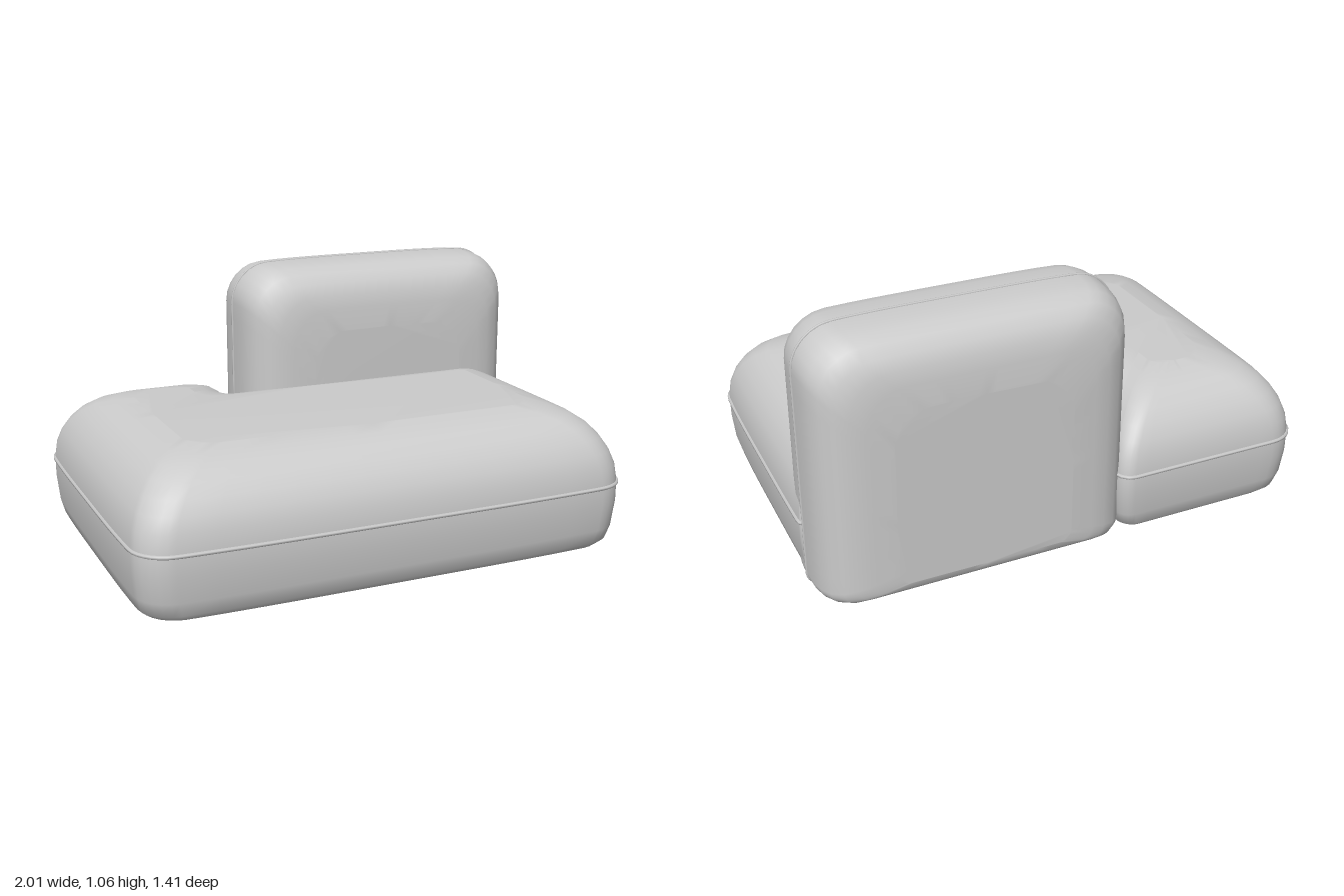
import * as THREE from 'three';

const ARC = 6, EDGE = 12; // segments per rounded corner and per straight side

// Counter-clockwise outline of right-angled corners [x, y, radius, insetWeight of next edge], moved inwards
function outline(corners, inset) {
  const n = corners.length;
  const dir = corners.map((c, i) => {
    const d = corners[(i + 1) % n];
    return new THREE.Vector2(d[0] - c[0], d[1] - c[1]).normalize();
  });
  const arcs = corners.map(([x, y, r, w = 1], i) => {
    const a = dir[(i + n - 1) % n], b = dir[i];
    const wa = corners[(i + n - 1) % n][3] ?? 1;
    const px = x - inset * (wa * a.y + w * b.y);
    const py = y + inset * (wa * a.x + w * b.x);
    return Array.from({ length: ARC + 1 }, (_, k) => {
      const t = (k / ARC) * Math.PI / 2, s = r * (Math.sin(t) - 1), c = r * (1 - Math.cos(t));
      return new THREE.Vector2(px + a.x * s + b.x * c, py + a.y * s + b.y * c);
    });
  });
  const pts = [];
  arcs.forEach((arc, i) => {
    const next = arcs[(i + 1) % n][0];
    pts.push(...arc);
    for (let k = 1; k < EDGE; k++) pts.push(arc[ARC].clone().lerp(next, k / EDGE));
  });
  return pts;
}

// Cushion skin: stacked outlines [inset, height], closed at both ends
function cushion(corners, profile, place, sharpBase) {
  const pos = [], idx = [];
  const rings = profile.map(([inset]) => outline(corners, inset));
  const n = rings[0].length;
  const addRing = (j) => {
    const start = pos.length / 3;
    rings[j].forEach(p => pos.push(...place(p.x, p.y, profile[j][1]).toArray()));
    return start;
  };
  rings.forEach((_, j) => addRing(j));
  for (let j = 0; j < rings.length - 1; j++) {
    for (let i = 0; i < n; i++) {
      const a = j * n + i, b = j * n + (i + 1) % n;
      idx.push(a, b, b + n, a, b + n, a + n);
    }
  }
  const last = rings.length - 1;
  const base = sharpBase ? addRing(0) : 0;
  THREE.ShapeUtils.triangulateShape(rings[last], []).forEach(([a, b, c]) =>
    idx.push(last * n + a, last * n + b, last * n + c));
  THREE.ShapeUtils.triangulateShape(rings[0], []).forEach(([a, b, c]) =>
    idx.push(base + a, base + c, base + b));
  const g = new THREE.BufferGeometry();
  g.setAttribute('position', new THREE.Float32BufferAttribute(pos, 3));
  g.setIndex(idx);
  g.computeVertexNormals();
  return g;
}

function piping(points, radius, closed) {
  const curve = new THREE.CatmullRomCurve3(points, closed, 'centripetal');
  return new THREE.TubeGeometry(curve, 240, radius, 6, closed);
}

export function createModel() {
  const group = new THREE.Group();
  const material = new THREE.MeshStandardMaterial({ color: 0xcccccc });
  const add = (name, geometry) => {
    const mesh = new THREE.Mesh(geometry, material);
    mesh.name = name;
    group.add(mesh);
  };

  // Seat: L-shaped cushion with a notch for the backrest, sides slightly bulged
  const seat = [
    [-1, -0.7, 0.12], [1, -0.7, 0.12], [1, 0.46, 0.03],
    [-0.19, 0.46, 0.1], [-0.19, 0.68, 0.06], [-1, 0.68, 0.12],
  ];
  const seatProfile = [
    [0.05, 0.02], [0.025, 0.045], [0.01, 0.1], [0, 0.2], [0, 0.28], [0.01, 0.35],
    [0.03, 0.405], [0.06, 0.455], [0.1, 0.5], [0.15, 0.535], [0.21, 0.558], [0.28, 0.574],
  ];
  const placeSeat = (u, v, h) => new THREE.Vector3(
    u * (1 - 0.015 * (v / 0.68) ** 4), h, -v - (v < 0 ? 0.02 * u ** 4 * (-v / 0.7) : 0));
  add('seatCushion', cushion(seat, seatProfile, placeSeat, true));
  add('seatPiping', piping(outline(seat, 0).map(p => placeSeat(p.x, p.y, 0.277)), 0.008, true));

  // Backrest: upright pillow, thickest at its middle seam, flat underneath
  const back = [
    [-0.235, 0.02, 0.05, 0.25], [0.99, 0.02, 0.05], [0.99, 1.06, 0.15], [-0.235, 1.06, 0.15],
  ];
  const half = [[0, 0], [0.08, 0.005], [0.13, 0.016], [0.175, 0.038], [0.21, 0.075],
    [0.23, 0.125], [0.24, 0.18], [0.247, 0.27]];
  const backProfile = [
    ...half.slice(1).reverse().map(([d, i]) => [i, -0.453 - d]),
    ...half.map(([d, i]) => [i, -0.453 + d]),
  ];
  const placeBack = (u, v, h) => new THREE.Vector3(
    u, v - 0.018 * ((u - 0.378) / 0.61) ** 4 * Math.max(0, v), h);
  add('backrestCushion', cushion(back, backProfile, placeBack, false));

  // Backrest piping runs up one end, over the top and down the other
  const rim = outline(back, 0);
  const path = [...rim.slice(ARC + EDGE), ...rim.slice(0, ARC + 1)];
  add('backrestPiping', piping([
    new THREE.Vector3(0.95, 0.005, -0.46),
    ...path.slice(1, -1).map(p => placeBack(p.x, p.y, -0.46)),
    new THREE.Vector3(-0.195, 0.005, -0.46),
  ], 0.005, false));

  return group;
}
